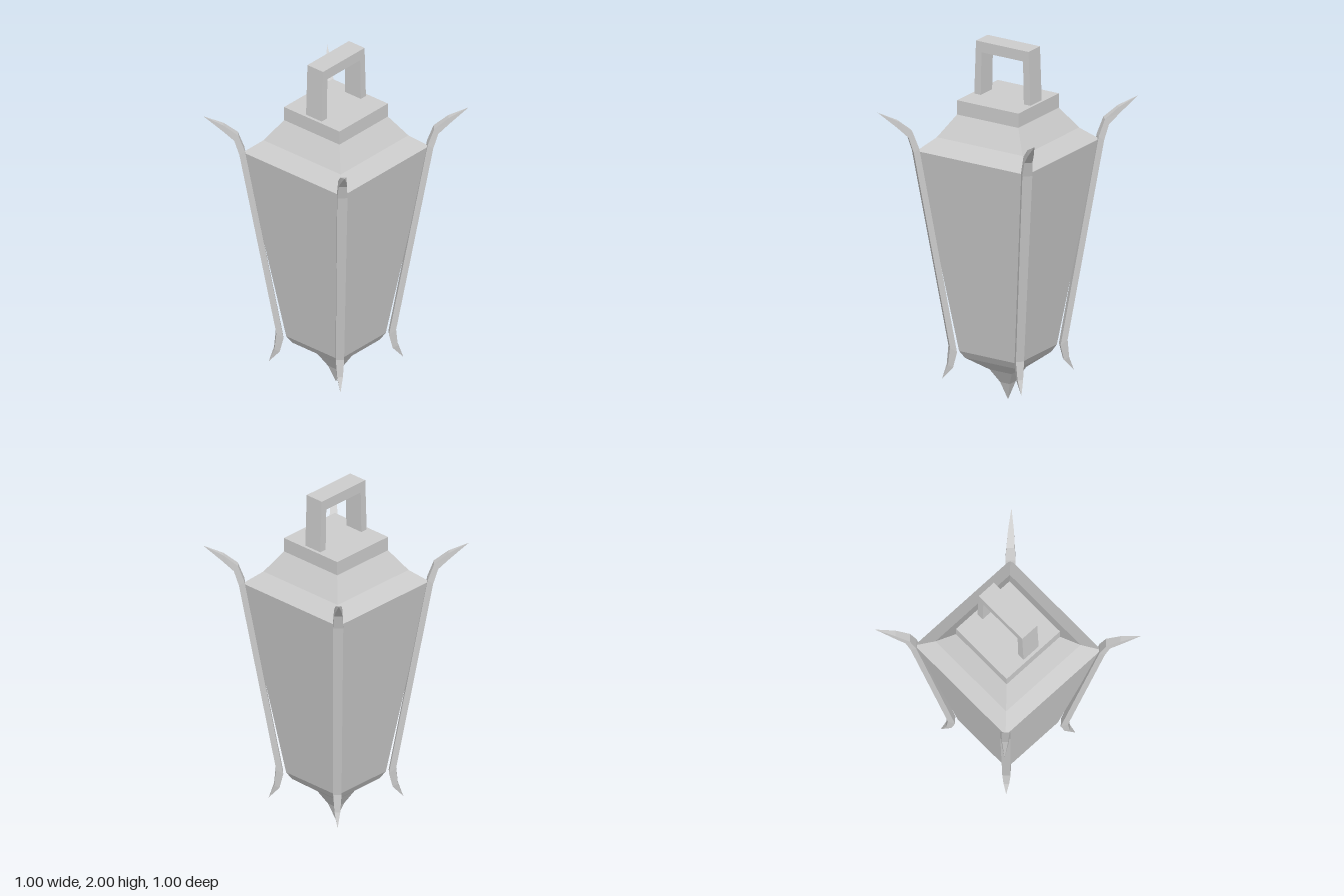
import * as THREE from 'three';

const material = new THREE.MeshStandardMaterial({ color: 0xcccccc, flatShading: true });

// Skin a stack of four-cornered rings (bottom to top) and close both ends.
function loft(rings) {
  const pos = [];
  const tri = (a, b, c) => {
    const t = new THREE.Triangle(a, b, c);
    if (t.getArea() > 1e-8) for (const p of [a, b, c]) pos.push(p.x, p.y, p.z);
  };
  const quad = (a, b, c, d) => { tri(a, b, c); tri(a, c, d); };
  for (let i = 0; i < rings.length - 1; i++) {
    const lo = rings[i], hi = rings[i + 1];
    for (let j = 0; j < 4; j++) {
      const k = (j + 1) % 4;
      quad(lo[j], lo[k], hi[k], hi[j]);
    }
  }
  const first = rings[0], last = rings[rings.length - 1];
  quad(first[3], first[2], first[1], first[0]);
  quad(...last);
  const geometry = new THREE.BufferGeometry();
  geometry.setAttribute('position', new THREE.Float32BufferAttribute(pos, 3));
  geometry.computeVertexNormals();
  return geometry;
}

function part(name, geometry) {
  const mesh = new THREE.Mesh(geometry, material);
  mesh.name = name;
  return mesh;
}

// Square ring of half-width h at height y.
const square = ([y, h]) => [[h, h], [h, -h], [-h, -h], [-h, h]]
  .map(([x, z]) => new THREE.Vector3(x, y, z));

// Rib ring: outer edge (ro, yo), inner edge (ri, yi), half-width t.
const ribRing = ([ro, yo, ri, yi, t]) => [[ro, yo, t], [ro, yo, -t], [ri, yi, -t], [ri, yi, t]]
  .map(p => new THREE.Vector3(...p));

export function createModel() {
  const model = new THREE.Group();
  model.name = 'lantern';

  // Bottom finial and tapering body
  model.add(part('bottomFinial', loft([[0, 0], [0.1, 0.03], [0.175, 0.07], [0.25, 0.165]].map(square))));
  model.add(part('body', loft([[0.25, 0.165], [0.29, 0.187], [1.43, 0.35]].map(square))));

  // Flared roof with a square cap
  model.add(part('roof', loft([[1.43, 0.35], [1.5, 0.272], [1.62, 0.195], [1.7, 0.195]].map(square))));

  // Corner ribs, curling outward to points at both ends
  const ribGeometry = loft([
    [0.357, 0.14, 0.357, 0.14, 0],
    [0.328, 0.22, 0.3, 0.205, 0.015],
    [0.318, 0.32, 0.28, 0.29, 0.022],
    [0.515, 1.43, 0.485, 1.45, 0.027],
    [0.542, 1.515, 0.52, 1.545, 0.022],
    [0.605, 1.575, 0.597, 1.607, 0.016],
    [0.705, 1.66, 0.705, 1.66, 0],
  ].map(ribRing));
  for (let i = 0; i < 4; i++) {
    const rib = part('cornerRib', ribGeometry);
    rib.rotation.y = Math.PI / 4 + i * Math.PI / 2;
    model.add(rib);
  }

  // Carrying handle
  const outline = new THREE.Shape([
    [-0.178, 1.7], [-0.137, 1.7], [-0.132, 1.94], [0.132, 1.94],
    [0.137, 1.7], [0.178, 1.7], [0.167, 2], [-0.167, 2],
  ].map(p => new THREE.Vector2(...p)));
  const handle = new THREE.ExtrudeGeometry(outline, { depth: 0.11, bevelEnabled: false });
  handle.translate(0, 0, -0.055);
  model.add(part('handle', handle));

  return model;
}
